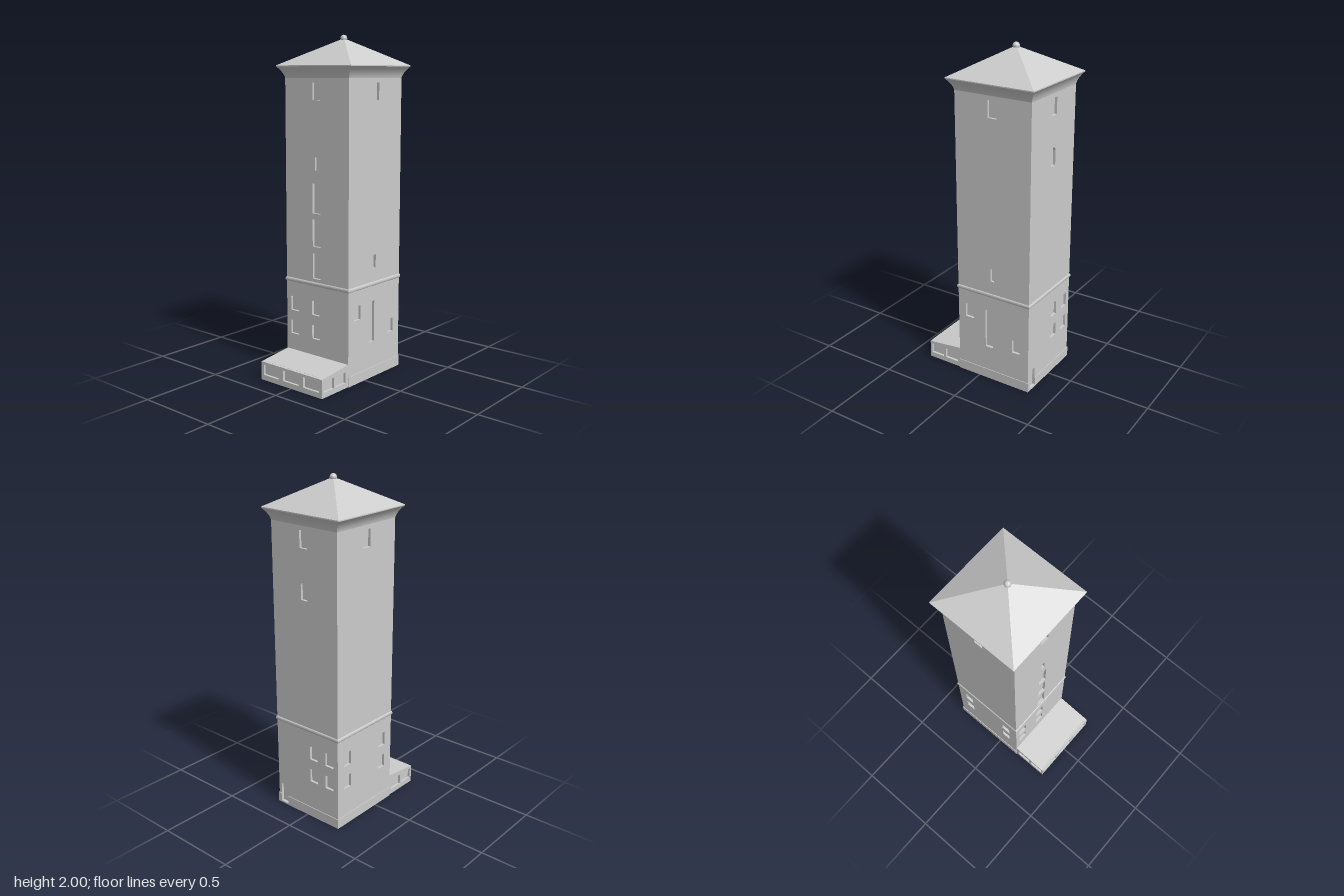
import * as THREE from 'three';

const stone = new THREE.MeshStandardMaterial({ color: 0xcccccc });
stone.name = 'pale stone';

const CX = 0.097, HX = 0.2435, HZ = 0.237; // tower centre and half widths
const T = 0.015;                           // depth of the window recesses

function add(parent, name, geometry, x = 0, y = 0, z = 0) {
  const mesh = new THREE.Mesh(geometry, stone);
  mesh.name = name;
  mesh.position.set(x, y, z);
  parent.add(mesh);
  return mesh;
}

// Box given by its two corners
function block(parent, name, x0, x1, y0, y1, z0, z1) {
  return add(parent, name, new THREE.BoxGeometry(x1 - x0, y1 - y0, z1 - z0),
    (x0 + x1) / 2, (y0 + y1) / 2, (z0 + z1) / 2);
}

// Opening [u0, u1, y0, y1, arched]
function opening([u0, u1, y0, y1, arched]) {
  const p = new THREE.Path();
  const r = (u1 - u0) / 2;
  p.moveTo(u0, y0);
  p.lineTo(u1, y0);
  if (arched) {
    p.lineTo(u1, y1 - r);
    p.absarc((u0 + u1) / 2, y1 - r, r, 0, Math.PI, false);
  } else {
    p.lineTo(u1, y1);
    p.lineTo(u0, y1);
  }
  p.closePath();
  return p;
}

// Wall leaf with openings; its outer face lies at the given distance
function wall(parent, name, outline, holes, turn, distance) {
  const shape = new THREE.Shape(outline.map(([u, y]) => new THREE.Vector2(u, y)));
  shape.holes = holes.map(opening);
  const g = new THREE.ExtrudeGeometry(shape, { depth: T, bevelEnabled: false, curveSegments: 8 });
  g.translate(0, 0, distance - T);
  g.rotateY(turn);
  return add(parent, name, g);
}

// Four mitred sides following a profile of [half x, half z, y], smooth along the profile
function mitred(parent, name, profile) {
  const corners = [[-1, 1], [1, 1], [1, -1], [-1, -1]];
  const pos = [], idx = [];
  for (let s = 0; s < 4; s++) {
    const a = corners[s], b = corners[(s + 1) % 4], start = pos.length / 3;
    profile.forEach(([hx, hz, y], i) => {
      pos.push(a[0] * hx, y, a[1] * hz, b[0] * hx, y, b[1] * hz);
      if (i === 0) return;
      const k = start + 2 * i;
      idx.push(k - 2, k - 1, k + 1, k - 2, k + 1, k);
    });
  }
  const g = new THREE.BufferGeometry();
  g.setAttribute('position', new THREE.Float32BufferAttribute(pos, 3));
  g.setIndex(idx);
  g.computeVertexNormals();
  return add(parent, name, g);
}

const rect = (h, y) => [[-h, 0], [h, 0], [h, y], [-h, y]];

export function createModel() {
  const model = new THREE.Group();
  model.name = 'waterTower';

  // Tower shaft: solid core with four pierced wall leaves
  const tower = new THREE.Group();
  tower.name = 'tower';
  tower.position.x = CX;
  model.add(tower);
  const top = 1.76;
  block(tower, 'towerCore', -HX + T, HX - T, 0, top, -HZ + T, HZ - T);
  const upper = [-0.028, 0.028, 1.632, 1.73];
  const rows = [[0.38, 0.465], [0.235, 0.317]];
  const grid = (...columns) => columns.flatMap(([a, b]) => rows.map(([y0, y1]) => [a, b, y0, y1]));

  wall(tower, 'frontWall', rect(HX, top), [
    upper,
    [-0.015, 0.009, 0.66, 0.74],
    [-0.192, -0.134, 0.38, 0.465],
    [-0.052, -0.002, 0.217, 0.465],
    [0.133, 0.183, 0.235, 0.317],
  ], 0, HZ);
  wall(tower, 'backWall', rect(HX, top),
    [upper, ...grid([-0.187, -0.129], [0.126, 0.184])], Math.PI, HZ);
  wall(tower, 'leftWall', rect(HZ - T, top), [
    upper,
    [-0.024, 0.024, 1.343, 1.45, true],
    ...grid([0.024, 0.082], [0.143, 0.204]),
    [-0.217, -0.161, 0.011, 0.13],
  ], Math.PI / 2, HX);
  wall(tower, 'rightWall', rect(HZ - T, top), [
    upper,
    [-0.012, 0.012, 1.235, 1.31],
    [-0.03, 0.03, 0.985, 1.16],
    [-0.03, 0.03, 0.79, 0.95],
    [-0.03, 0.03, 0.6, 0.75],
    ...grid([-0.204, -0.143], [-0.037, 0.022]),
  ], -Math.PI / 2, HX);

  // Plinth, broken by the doorway
  const p = 0.004;
  block(tower, 'frontPlinth', -HX, HX + p, 0, 0.06, HZ, HZ + p);
  block(tower, 'backPlinth', -HX, HX + p, 0, 0.06, -HZ - p, -HZ);
  block(tower, 'sidePlinth', HX, HX + p, 0, 0.06, -HZ, 0.161);
  block(tower, 'doorPlinth', HX, HX + p, 0, 0.06, 0.217, HZ);
  block(tower, 'doorSill', HX, HX + p, 0, 0.011, 0.161, 0.217);

  // Rounded string course
  const belt = [];
  for (let i = 0; i <= 8; i++) {
    const a = -Math.PI / 2 + Math.PI * i / 8, out = 0.006 * Math.cos(a);
    belt.push([HX + out, HZ + out, 0.568 + 0.012 * Math.sin(a)]);
  }
  mitred(tower, 'stringCourse', belt);

  // Coved cornice under the eaves
  const eave = 0.277, cove = [];
  for (let i = 0; i <= 8; i++) {
    const t = i / 8, out = 0.35 * t + 0.65 * t * t;
    cove.push([HX + (eave - HX) * out, HZ + (eave - HZ) * out, 1.755 + 0.065 * t]);
  }
  mitred(tower, 'cornice', cove);

  // Pyramid roof with ball finial
  mitred(tower, 'roofEdge', [[eave, eave, 1.82], [eave, eave, 1.826]]);
  mitred(tower, 'roof', [[eave, eave, 1.826], [0.0005, 0.0005, 1.98]]);
  add(tower, 'finial', new THREE.SphereGeometry(0.02, 24, 16), 0, 1.98, 0);

  // Low side annex with a lean-to roof
  const annex = new THREE.Group();
  annex.name = 'annex';
  model.add(annex);
  const x0 = -0.375, x1 = CX - HX, az = 0.235;
  const profile = (a, b, s) => {
    const h = x => 0.11 + 0.025 * (x - x0) / (x1 - x0);
    const pts = [[a, 0], [b, 0], [b, h(b)], [a, h(a)]];
    return pts.map(([x, y]) => [x * s, y]);
  };
  const core = new THREE.Shape(profile(x0 + T, x1, 1).map(([x, y]) => new THREE.Vector2(x, y)));
  add(annex, 'annexCore',
    new THREE.ExtrudeGeometry(core, { depth: 2 * (az - T), bevelEnabled: false }), 0, 0, -(az - T));
  const bays = [[-0.362, -0.272], [-0.257, -0.167]];
  wall(annex, 'annexFront', profile(x0, x1, 1), bays.map(([a, b]) => [a, b, 0.032, 0.095]), 0, az);
  wall(annex, 'annexBack', profile(x0, x1, -1), bays.map(([a, b]) => [-b, -a, 0.032, 0.095]), Math.PI, az);
  wall(annex, 'annexSide', rect(az - T, 0.111),
    [-0.155, 0, 0.155].map(c => [c - 0.06, c + 0.06, 0.032, 0.095]), -Math.PI / 2, -x0);

  return model;
}
